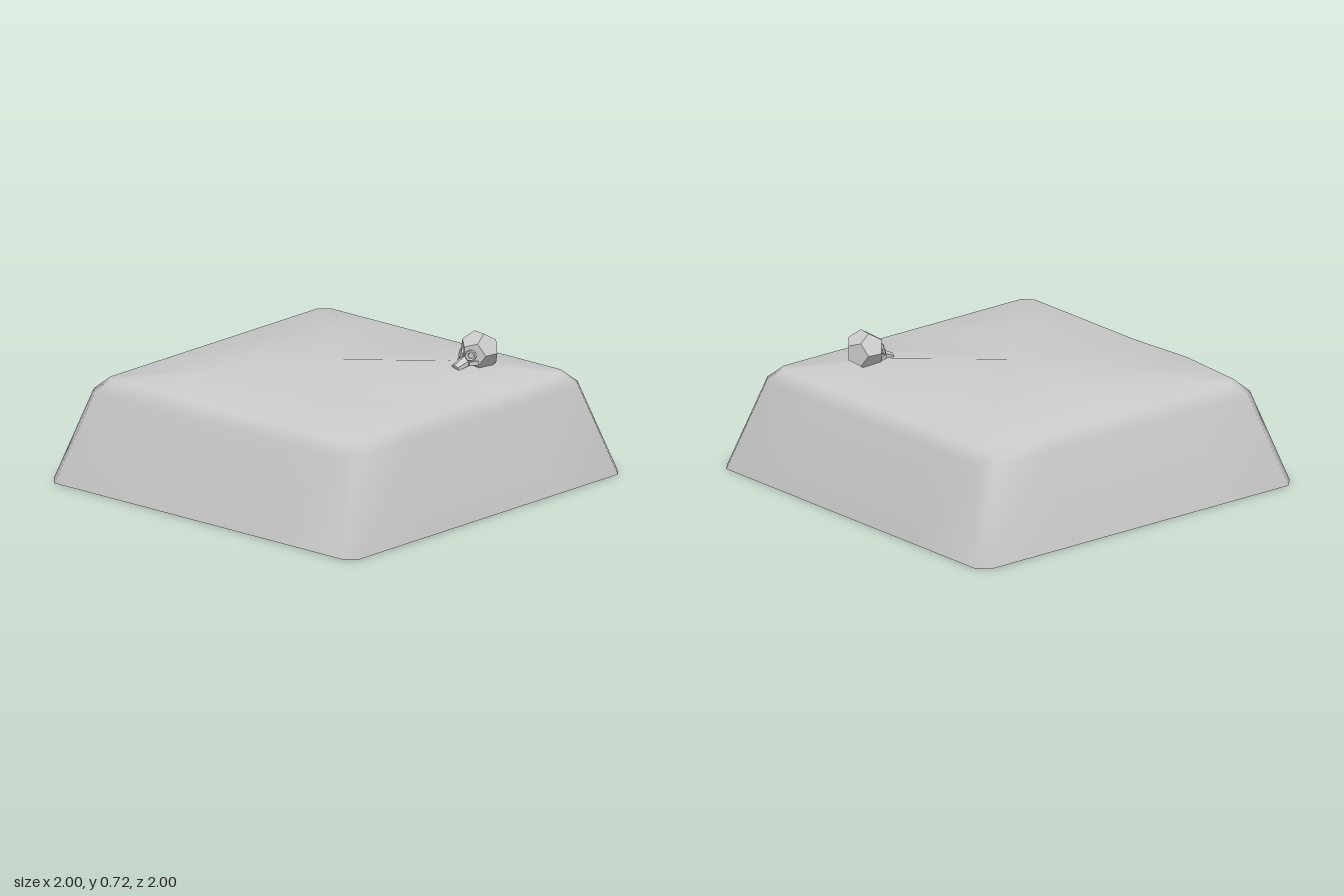
import * as THREE from 'three';

const SIDES = 4, PER_SIDE = 5, RING = SIDES * PER_SIDE;

// quarter turn of a ground point, repeated s times
function turn(x, z, s) {
  for (let i = 0; i < s; i++) [x, z] = [z, -x];
  return [x, z];
}

// square loop with cut corners
function squareRing(r, y, cut, mid) {
  const points = [];
  for (let s = 0; s < SIDES; s++) {
    for (const t of [r - cut, mid, 0, -mid, cut - r]) {
      const [x, z] = turn(r, t, s);
      points.push([x, y, z]);
    }
  }
  return points;
}

// sloping sides, bevelled rim and uneven top as one smooth shell, open below
function moundGeometry() {
  const rim = squareRing(0.8, 0.515, 0.05, 0.4);
  rim[11][1] = 0.532;
  const points = [
    ...squareRing(1, 0, 0.06, 0.48),
    ...squareRing(0.86, 0.455, 0.055, 0.43),
    ...rim,
  ];
  const index = [];

  // side and bevel bands
  for (let band = 0; band < 2; band++) {
    for (let i = 0; i < RING; i++) {
      const a = band * RING + i, b = band * RING + (i + 1) % RING;
      index.push(a, b, b + RING, a, b + RING, a + RING);
    }
  }

  // inner ring of bumps and the summit
  const inner = points.length, summit = inner + 8;
  const heights = [0.58, 0.522, 0.56, 0.58, 0.555, 0.545, 0.555, 0.522];
  for (let s = 0; s < SIDES; s++) {
    for (let k = 0; k < 2; k++) {
      const [x, z] = turn(0.4, k ? 0 : 0.4, s);
      points.push([x, heights[2 * s + k], z]);
    }
  }
  points.push([0, 0.595, 0]);
  const R = (i) => 2 * RING + i % RING;
  const N = (i) => inner + i % 8;
  for (let s = 0; s < SIDES; s++) {
    const r = 5 * s, n = 2 * s;
    for (let t = 1; t <= 2; t++) {
      index.push(R(r + t), R(r + t + 1), N(n + t - 1));
      index.push(R(r + t + 1), N(n + t), N(n + t - 1));
      index.push(summit, N(n + t - 1), N(n + t));
    }
    for (let t = 3; t <= 5; t++) index.push(N(n + 2), R(r + t), R(r + t + 1));
  }

  const geometry = new THREE.BufferGeometry();
  geometry.setAttribute('position', new THREE.Float32BufferAttribute(points.flat(), 3));
  geometry.setIndex(index);
  geometry.computeVertexNormals();
  return geometry;
}

function createSkull() {
  const skull = new THREE.Group();
  skull.name = 'skull';
  const bone = new THREE.MeshStandardMaterial({ color: 0xcccccc, flatShading: true });
  const add = (name, geometry, x, y, z) => {
    const mesh = new THREE.Mesh(geometry, bone);
    mesh.name = name;
    mesh.position.set(x, y, z);
    skull.add(mesh);
    return mesh;
  };

  // faceted braincase
  add('cranium', new THREE.DodecahedronGeometry(0.101), 0, 0, 0);

  // tapering upper jaw
  const muzzle = add('muzzle', new THREE.CylinderGeometry(0.026, 0.045, 0.1, 6), 0, -0.043, 0.104);
  muzzle.rotation.x = Math.PI / 2 + 0.35;
  muzzle.scale.z = 0.65;

  // eye rims and cheekbones on both sides
  for (const side of [-1, 1]) {
    const rim = add('eyeRim', new THREE.TorusGeometry(0.022, 0.009, 5, 7), side * 0.034, -0.002, 0.082);
    rim.rotation.set(-0.35, side * 0.5, 0);
    const cheek = add('cheekbone', new THREE.BoxGeometry(0.022, 0.02, 0.055), side * 0.045, -0.038, 0.07);
    cheek.rotation.y = -side * 0.4;
  }

  skull.position.set(0.5, 0.625, 0.487);
  skull.rotation.y = -1.72;
  return skull;
}

export function createModel() {
  const model = new THREE.Group();
  model.name = 'groundTile';
  const mound = new THREE.Mesh(
    moundGeometry(),
    new THREE.MeshStandardMaterial({ color: 0xcccccc, side: THREE.DoubleSide }),
  );
  mound.name = 'mound';
  model.add(mound, createSkull());
  return model;
}
